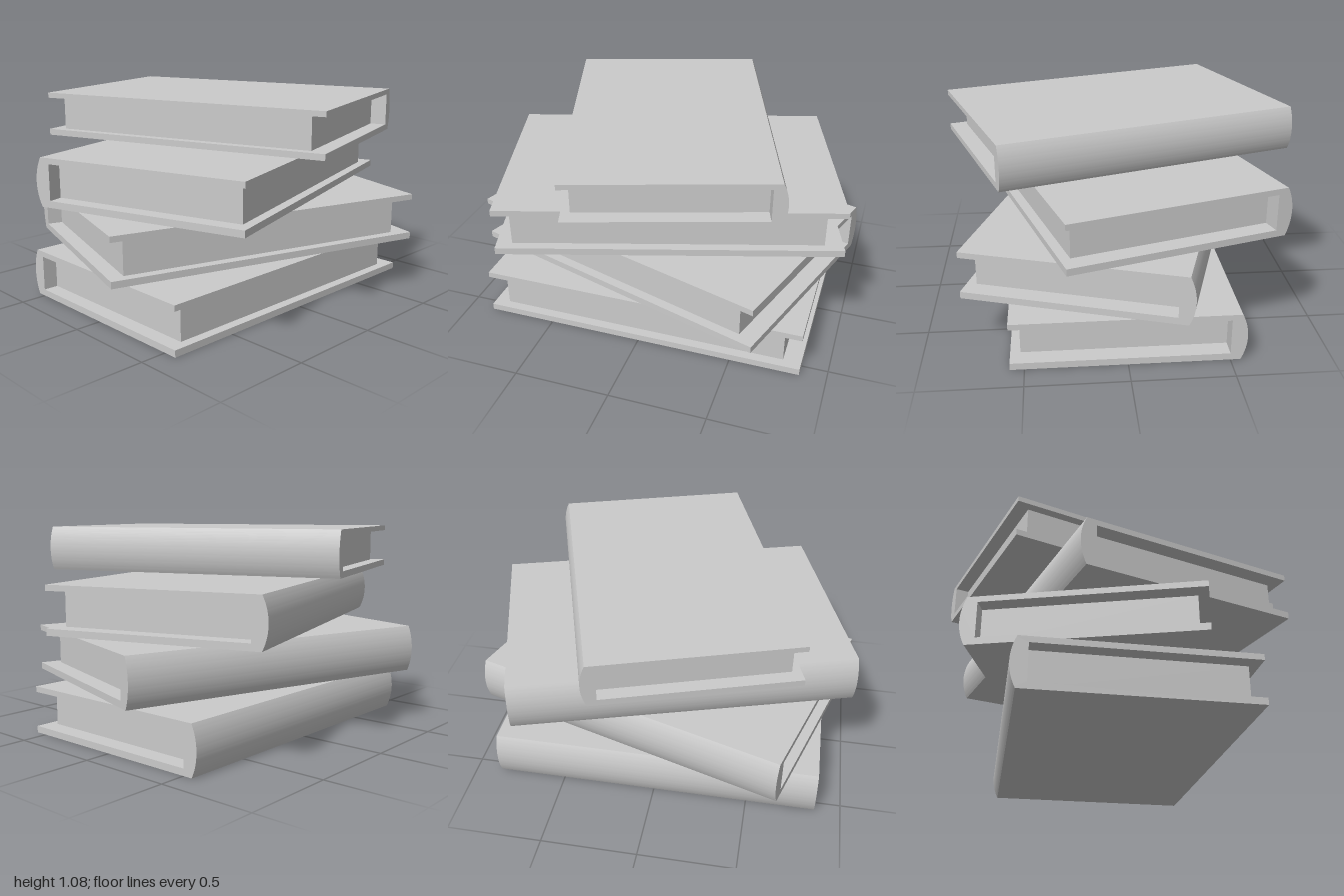
import * as THREE from 'three';
import { toCreasedNormals } from 'three/addons/utils/BufferGeometryUtils.js';

const material = new THREE.MeshStandardMaterial({ color: 0xcccccc });

// Book dimensions, spine towards -x
const HEIGHT = 0.25, LENGTH = 1.727;
const FORE = 0.57, HINGE = -0.55, SPINE_INNER = -0.5, BULGE = 0.03;
const BOARD_LOW = 0.035, BOARD_HIGH = 0.22;

// C-shaped binding: two boards joined by a rounded spine
function coverGeometry() {
  const half = HEIGHT / 2;
  const radius = (half * half + BULGE * BULGE) / (2 * BULGE);
  const angle = Math.asin(half / radius);
  const shape = new THREE.Shape();
  shape.moveTo(FORE, 0);
  shape.lineTo(FORE, BOARD_LOW);
  shape.lineTo(SPINE_INNER, BOARD_LOW);
  shape.lineTo(SPINE_INNER, BOARD_HIGH);
  shape.lineTo(FORE, BOARD_HIGH);
  shape.lineTo(FORE, HEIGHT);
  shape.lineTo(HINGE, HEIGHT);
  shape.absarc(HINGE - BULGE + radius, half, radius, Math.PI - angle, Math.PI + angle, false);
  const geometry = new THREE.ExtrudeGeometry(shape, {
    depth: LENGTH, bevelEnabled: false, curveSegments: 16,
  });
  geometry.translate(0, 0, -LENGTH / 2);
  return toCreasedNormals(geometry, 0.5);
}

// Page block, set back from the board edges
function pagesGeometry() {
  const x0 = SPINE_INNER, x1 = 0.52, z0 = -0.77, z1 = 0.785;
  const geometry = new THREE.BoxGeometry(x1 - x0, BOARD_HIGH - BOARD_LOW, z1 - z0);
  geometry.translate((x0 + x1) / 2, (BOARD_LOW + BOARD_HIGH) / 2, (z0 + z1) / 2);
  return geometry;
}

export function createModel() {
  const stack = new THREE.Group();
  stack.name = 'bookStack';
  const cover = coverGeometry();
  const pages = pagesGeometry();

  // Books from bottom to top, each turned differently
  const books = [
    { y: 0, turn: 0, scale: 1 },
    { y: 0.283, turn: -0.305, scale: 1 },
    { y: 0.565, turn: 0.3, scale: 1 },
    { y: 0.859, turn: -1.252, scale: 0.9 },
  ];
  books.forEach(({ y, turn, scale }, i) => {
    const book = new THREE.Group();
    book.name = `book${i + 1}`;
    const coverMesh = new THREE.Mesh(cover, material);
    coverMesh.name = 'cover';
    const pagesMesh = new THREE.Mesh(pages, material);
    pagesMesh.name = 'pages';
    book.add(coverMesh, pagesMesh);
    book.position.y = y;
    book.rotation.y = turn;
    book.scale.setScalar(scale);
    stack.add(book);
  });
  return stack;
}
